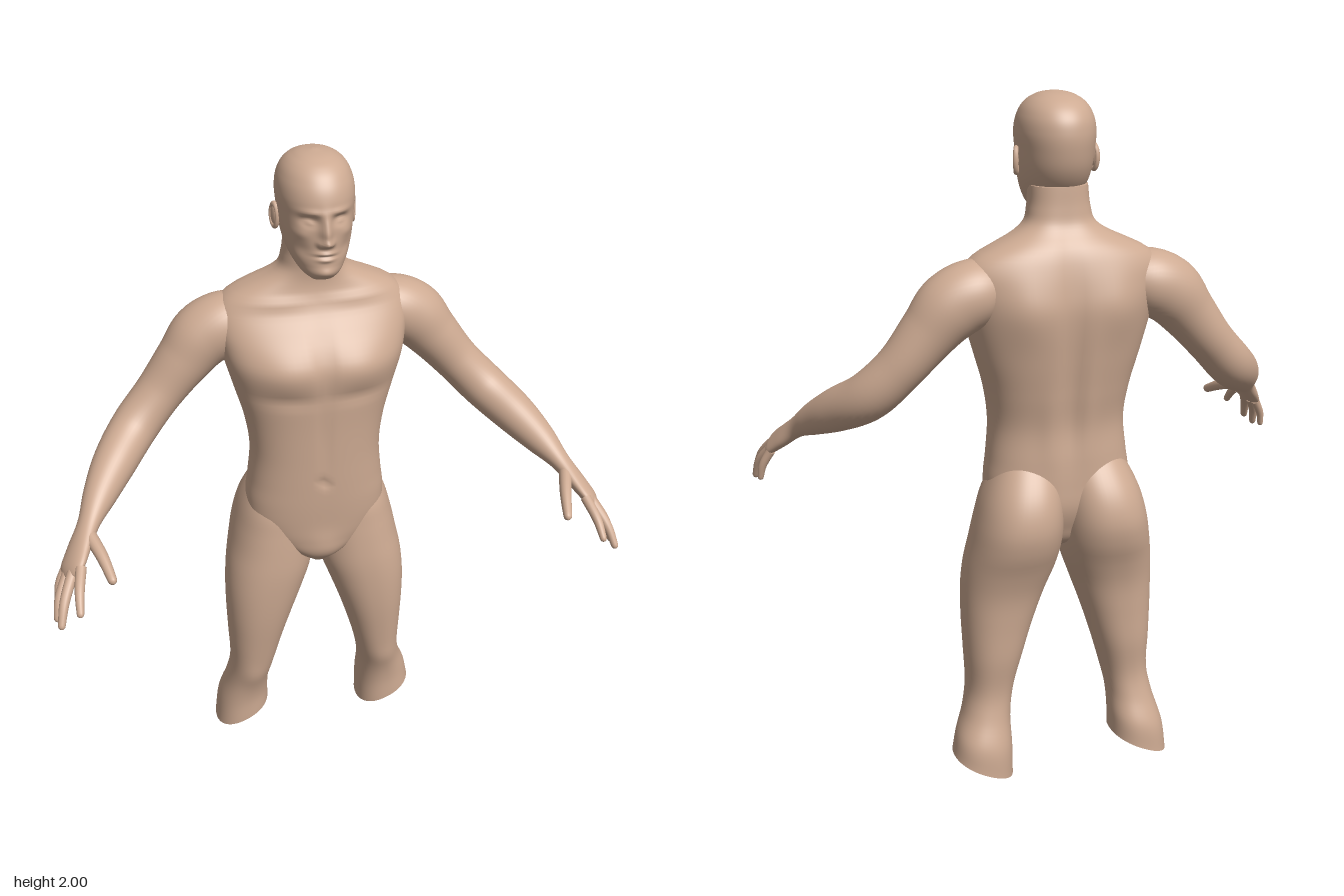
import * as THREE from 'three';

const skinMaterial = new THREE.MeshStandardMaterial({ color: 0xcdaa92 });
const HAND_AXIS = [-0.5, 0.4, 0.75]; // across the palm, little finger to index

// Smooth samples through key rows placed at parameters t, denser near both ends
function sample(t, keys, count) {
  const spline = new THREE.CubicInterpolant(t, keys.flat(), keys[0].length, new Float64Array(keys[0].length));
  const first = t[0], span = t[t.length - 1] - first;
  return Array.from({ length: count + 1 }, (_, i) => {
    const s = first + span * (0.5 - 0.5 * Math.cos(Math.PI * i / count));
    return { s, k: Array.from(spline.evaluate(s)) };
  });
}

// Skin a stack of rings of points, with a flat cap on each end
function skin(name, rings) {
  const n = rings[0].length, pos = [], idx = [];
  rings.forEach(r => r.forEach(p => pos.push(p.x, p.y, p.z)));
  for (let i = 0; i < rings.length - 1; i++) {
    for (let j = 0; j < n; j++) {
      const a = i * n + j, b = i * n + (j + 1) % n;
      idx.push(a, b, a + n, b, b + n, a + n);
    }
  }
  [rings[0], rings[rings.length - 1]].forEach((ring, end) => {
    const base = pos.length / 3, c = new THREE.Vector3();
    ring.forEach(p => { pos.push(p.x, p.y, p.z); c.addScaledVector(p, 1 / n); });
    pos.push(c.x, c.y, c.z);
    for (let j = 0; j < n; j++) {
      const a = base + j, b = base + (j + 1) % n;
      idx.push(base + n, end ? a : b, end ? b : a);
    }
  });
  const geo = new THREE.BufferGeometry();
  geo.setAttribute('position', new THREE.Float32BufferAttribute(pos, 3));
  geo.setIndex(idx);
  geo.computeVertexNormals();
  const mesh = new THREE.Mesh(geo, skinMaterial);
  mesh.name = name;
  return mesh;
}

// Horizontal sections, rows [y, xMin, xMax, zFront, zBack], shaped by soft bumps
// Bumps: [x, y, width, height, depth, side], side 1 = front, -1 = back
function stack(name, keys, { count, sides, power = 2, bumps = [], tilt = () => 0 }) {
  const rings = sample(keys.map(k => k[0]), keys, count).map(({ k: [y, x0, x1, zf, zb] }) => {
    const cx = (x0 + x1) / 2, cz = (zf + zb) / 2;
    return Array.from({ length: sides }, (_, j) => {
      const a = 2 * Math.PI * j / sides, c = Math.cos(a), s = -Math.sin(a);
      const x = cx + (x1 - x0) / 2 * Math.sign(c) * Math.abs(c) ** (2 / power);
      let z = cz + (zf - zb) / 2 * Math.sign(s) * Math.abs(s) ** (2 / power);
      for (const [bx, by, w, h, d, side] of bumps) {
        const facing = Math.min(1, Math.max(0, side * s * 1.6));
        z += side * d * facing * Math.exp(-(((Math.abs(x) - bx) / w) ** 2) - ((y - by) / h) ** 2);
      }
      return new THREE.Vector3(x, y + tilt(y) * (x - cx), z);
    });
  });
  return skin(name, rings);
}

// Tapered limb with a rounded tip, rows [x, y, z, radius along ref, other radius]
function limb(name, keys, m, count, sides) {
  const pts = keys.map(k => [k[0] * m, ...k.slice(1)]);
  const ref = new THREE.Vector3(HAND_AXIS[0] * m, HAND_AXIS[1], HAND_AXIS[2]);
  const t = [0];
  for (let i = 1; i < pts.length; i++) {
    t.push(t[i - 1] + Math.hypot(...[0, 1, 2].map(d => pts[i][d] - pts[i - 1][d])));
  }
  const length = t[t.length - 1], tip = pts[pts.length - 1][3];
  const rows = sample(t, pts, count);
  const centers = rows.map(r => new THREE.Vector3(...r.k));
  const rings = rows.map(({ s, k }, i) => {
    const T = centers[Math.min(i + 1, count)].clone().sub(centers[Math.max(i - 1, 0)]).normalize();
    const B = T.clone().cross(ref).normalize(), N = B.clone().cross(T);
    const e = Math.max(0, 1 - (length - s) / tip);
    const round = Math.sqrt(Math.max(0.0004, 1 - e * e));
    return Array.from({ length: sides }, (_, j) => {
      const a = 2 * Math.PI * j / sides;
      return centers[i].clone()
        .addScaledVector(N, k[3] * round * Math.cos(a))
        .addScaledVector(B, k[4] * round * Math.sin(a));
    });
  });
  return skin(name, rings);
}

const symmetric = rows => rows.map(([y, w, zf, zb]) => [y, -w, w, zf, zb]);

export function createModel() {
  const model = new THREE.Group();
  model.name = 'body';

  // Torso and neck, with chest, navel, spine and shoulder blades
  model.add(stack('torso', symmetric([
    [0.70, 0.03, -0.07, -0.16], [0.74, 0.09, -0.035, -0.23], [0.80, 0.17, -0.024, -0.265],
    [0.86, 0.207, -0.018, -0.285], [0.93, 0.212, -0.012, -0.287], [1.00, 0.203, -0.008, -0.285],
    [1.10, 0.195, -0.004, -0.28], [1.20, 0.208, 0.0, -0.296], [1.30, 0.235, 0.006, -0.312],
    [1.40, 0.262, 0.011, -0.322], [1.45, 0.272, -0.008, -0.322], [1.50, 0.28, -0.04, -0.314],
    [1.55, 0.273, -0.075, -0.302], [1.585, 0.24, -0.09, -0.29], [1.61, 0.19, -0.096, -0.277],
    [1.635, 0.135, -0.098, -0.258], [1.66, 0.1, -0.096, -0.243], [1.70, 0.086, -0.09, -0.235],
    [1.76, 0.08, -0.08, -0.23],
  ]), {
    count: 100, sides: 96, power: 2.4, bumps: [
      [0.11, 1.4, 0.09, 0.06, 0.014, 1], [0, 1.42, 0.02, 0.1, -0.008, 1],
      [0.1, 1.31, 0.08, 0.02, -0.006, 1], [0.12, 1.575, 0.1, 0.012, 0.007, 1],
      [0, 1.02, 0.012, 0.014, -0.011, 1], [0, 1.18, 0.014, 0.13, -0.005, 1],
      [0, 0.78, 0.045, 0.05, 0.008, 1],
      [0, 1.3, 0.03, 0.25, -0.018, -1], [0.13, 1.45, 0.07, 0.09, 0.014, -1],
      [0.055, 1.1, 0.03, 0.12, 0.006, -1],
    ],
  }));

  // Head and face
  const head = new THREE.Group();
  head.name = 'head';
  head.add(stack('skullAndFace', symmetric([
    [1.676, 0.032, -0.01, -0.06], [1.69, 0.052, 0.005, -0.12], [1.72, 0.074, 0.011, -0.185],
    [1.76, 0.09, 0.011, -0.225], [1.80, 0.098, 0.012, -0.25], [1.85, 0.103, 0.014, -0.264],
    [1.90, 0.106, 0.012, -0.267], [1.94, 0.098, -0.004, -0.256], [1.97, 0.08, -0.03, -0.23],
    [1.985, 0.06, -0.055, -0.204], [1.995, 0.035, -0.087, -0.17], [2.0, 0.006, -0.122, -0.134],
  ]), {
    count: 100, sides: 112, power: 2.1, bumps: [
      [0, 1.84, 0.014, 0.03, 0.015, 1], [0, 1.81, 0.015, 0.022, 0.018, 1],
      [0, 1.79, 0.016, 0.012, 0.022, 1], [0.016, 1.786, 0.008, 0.008, 0.008, 1],
      [0.042, 1.848, 0.022, 0.014, -0.017, 1], [0.042, 1.844, 0.013, 0.007, 0.009, 1],
      [0.038, 1.872, 0.03, 0.009, 0.006, 1], [0.065, 1.81, 0.02, 0.015, 0.005, 1],
      [0.06, 1.765, 0.02, 0.02, -0.006, 1], [0, 1.757, 0.024, 0.006, 0.008, 1],
      [0, 1.74, 0.021, 0.006, 0.007, 1], [0, 1.749, 0.027, 0.0035, -0.006, 1],
      [0, 1.702, 0.025, 0.014, 0.007, 1],
    ],
  }));
  model.add(head);

  for (const [side, m] of [['left', 1], ['right', -1]]) {
    // Ear: a rim around a shallow bowl
    const ear = new THREE.Group();
    ear.name = side + 'Ear';
    const rim = new THREE.Mesh(new THREE.TorusGeometry(0.026, 0.007, 10, 28), skinMaterial);
    const bowl = new THREE.Mesh(new THREE.SphereGeometry(0.024, 20, 12), skinMaterial);
    rim.name = 'earRim';
    bowl.name = 'earBowl';
    rim.scale.set(0.65, 1.2, 1);
    bowl.scale.set(0.65, 1.2, 0.3);
    ear.add(rim, bowl);
    ear.position.set(m * 0.109, 1.822, -0.135);
    ear.rotation.set(0, m * (Math.PI / 2 - 0.35), 0);
    head.add(ear);

    // Thigh with buttock, cut at a slant below the knee
    const leg = [
      [0.04, 0.158, 0.336, -0.112, -0.302], [0.12, 0.158, 0.323, -0.11, -0.296],
      [0.20, 0.157, 0.297, -0.095, -0.266], [0.27, 0.145, 0.283, -0.075, -0.252],
      [0.40, 0.11, 0.285, -0.052, -0.265], [0.50, 0.078, 0.288, -0.038, -0.27],
      [0.60, 0.042, 0.287, -0.03, -0.28], [0.68, 0.014, 0.279, -0.028, -0.303],
      [0.75, 0.003, 0.265, -0.031, -0.33], [0.82, 0.0, 0.25, -0.036, -0.342],
      [0.90, 0.002, 0.226, -0.045, -0.325], [0.98, 0.015, 0.185, -0.08, -0.275],
      [1.04, 0.045, 0.14, -0.13, -0.22],
    ].map(([y, a, b, f, r]) => [y, ...(m > 0 ? [a, b] : [-b, -a]), f, r]);
    model.add(stack(side + 'Leg', leg, {
      count: 70, sides: 56, power: 2.25,
      bumps: [[0.22, 0.24, 0.04, 0.05, 0.006, 1]],
      tilt: y => 0.45 * Math.max(0, 1 - (y - 0.04) / 0.28) ** 1.5,
    }));

    // Arm running from the shoulder into the palm
    model.add(limb(side + 'Arm', [
      [0.17, 1.505, -0.2, 0.07, 0.065], [0.24, 1.49, -0.2, 0.092, 0.09],
      [0.31, 1.455, -0.2, 0.092, 0.094], [0.37, 1.39, -0.195, 0.082, 0.08],
      [0.45, 1.295, -0.185, 0.072, 0.068], [0.53, 1.212, -0.15, 0.069, 0.068],
      [0.605, 1.15, -0.06, 0.062, 0.062], [0.66, 1.1, 0.025, 0.047, 0.047],
      [0.7, 1.058, 0.092, 0.036, 0.029], [0.735, 1.016, 0.145, 0.046, 0.024],
      [0.762, 0.983, 0.19, 0.05, 0.019], [0.776, 0.966, 0.21, 0.042, 0.014],
    ], m, 90, 40));

    // Thumb and fingers: root, middle joint, tip and thickness
    const digits = {
      Thumb: [[0.702, 1.045, 0.13], [0.676, 1.018, 0.205], [0.656, 0.98, 0.283], 0.017],
      IndexFinger: [[0.737, 1.0, 0.215], [0.75, 0.963, 0.28], [0.756, 0.918, 0.33], 0.0135],
      MiddleFinger: [[0.758, 0.985, 0.2], [0.793, 0.925, 0.262], [0.811, 0.865, 0.302], 0.014],
      RingFinger: [[0.772, 0.97, 0.18], [0.806, 0.912, 0.226], [0.819, 0.855, 0.252], 0.0135],
      LittleFinger: [[0.777, 0.968, 0.155], [0.802, 0.92, 0.168], [0.811, 0.873, 0.178], 0.0115],
    };
    for (const [name, [root, joint, tip, r]] of Object.entries(digits)) {
      const rows = [[...root, r * 1.15, r * 1.15], [...joint, r, r], [...tip, r * 0.75, r * 0.7]];
      model.add(limb(side + name, rows, m, 22, 16));
    }
  }
  return model;
}
